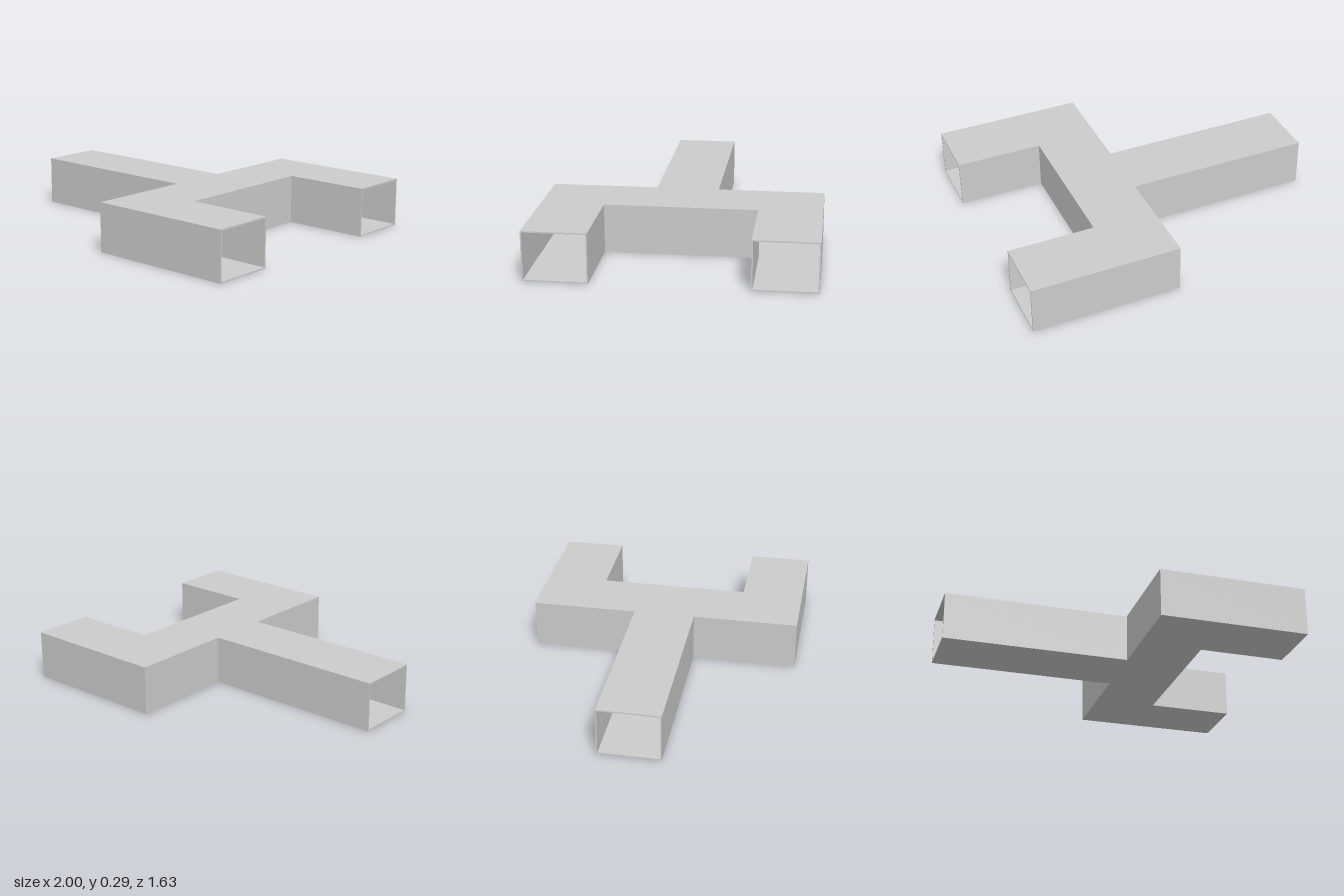
import * as THREE from 'three';

const H = 0.29;      // outer height of the square duct
const T = 0.008;     // sheet thickness
const material = new THREE.MeshStandardMaterial({ color: 0xcccccc });

// Plan outline, one half (z > 0): stem, crossbar and arm
const STEM = 0.185, ARM_IN = 0.445, ARM_OUT = 0.815;
const BAR_BACK = 0.113, BAR_FRONT = 0.485;

// Extrude a plan drawn as [x, z] points upwards from height y
function slab(name, points, y, height) {
  const shape = new THREE.Shape(points.map(([x, z]) => new THREE.Vector2(x, -z)));
  const geometry = new THREE.ExtrudeGeometry(shape, { depth: height, bevelEnabled: false });
  geometry.rotateX(-Math.PI / 2).translate(0, y, 0);
  const mesh = new THREE.Mesh(geometry, material);
  mesh.name = name;
  return mesh;
}

const mirror = (points) => points.map(([x, z]) => [x, -z]).reverse();

export function createModel() {
  const group = new THREE.Group();
  group.name = 'forkedDuct';

  // Outer side of the duct, from the stem mouth to the arm mouth
  const side = [[-1, STEM], [BAR_BACK, STEM], [BAR_BACK, ARM_OUT], [1, ARM_OUT]];
  const sideInner = [
    [1, ARM_OUT - T], [BAR_BACK + T, ARM_OUT - T],
    [BAR_BACK + T, STEM - T], [-1, STEM - T],
  ];
  // Inner side of the fork, between the two arm mouths
  const fork = [[1, ARM_IN], [BAR_FRONT, ARM_IN], [BAR_FRONT, -ARM_IN], [1, -ARM_IN]];
  const forkInner = [
    [1, -ARM_IN - T], [BAR_FRONT - T, -ARM_IN - T],
    [BAR_FRONT - T, ARM_IN + T], [1, ARM_IN + T],
  ];

  // Floor and roof sheets share the full outline
  const outline = [...side, ...fork, ...mirror(side)];
  group.add(slab('floor', outline, 0, T), slab('roof', outline, H - T, T));

  // Upright walls; all three mouths stay open
  const sideWall = [...side, ...sideInner];
  group.add(
    slab('leftWall', sideWall, T, H - 2 * T),
    slab('rightWall', mirror(sideWall), T, H - 2 * T),
    slab('forkWall', [...fork, ...forkInner], T, H - 2 * T),
  );
  return group;
}
